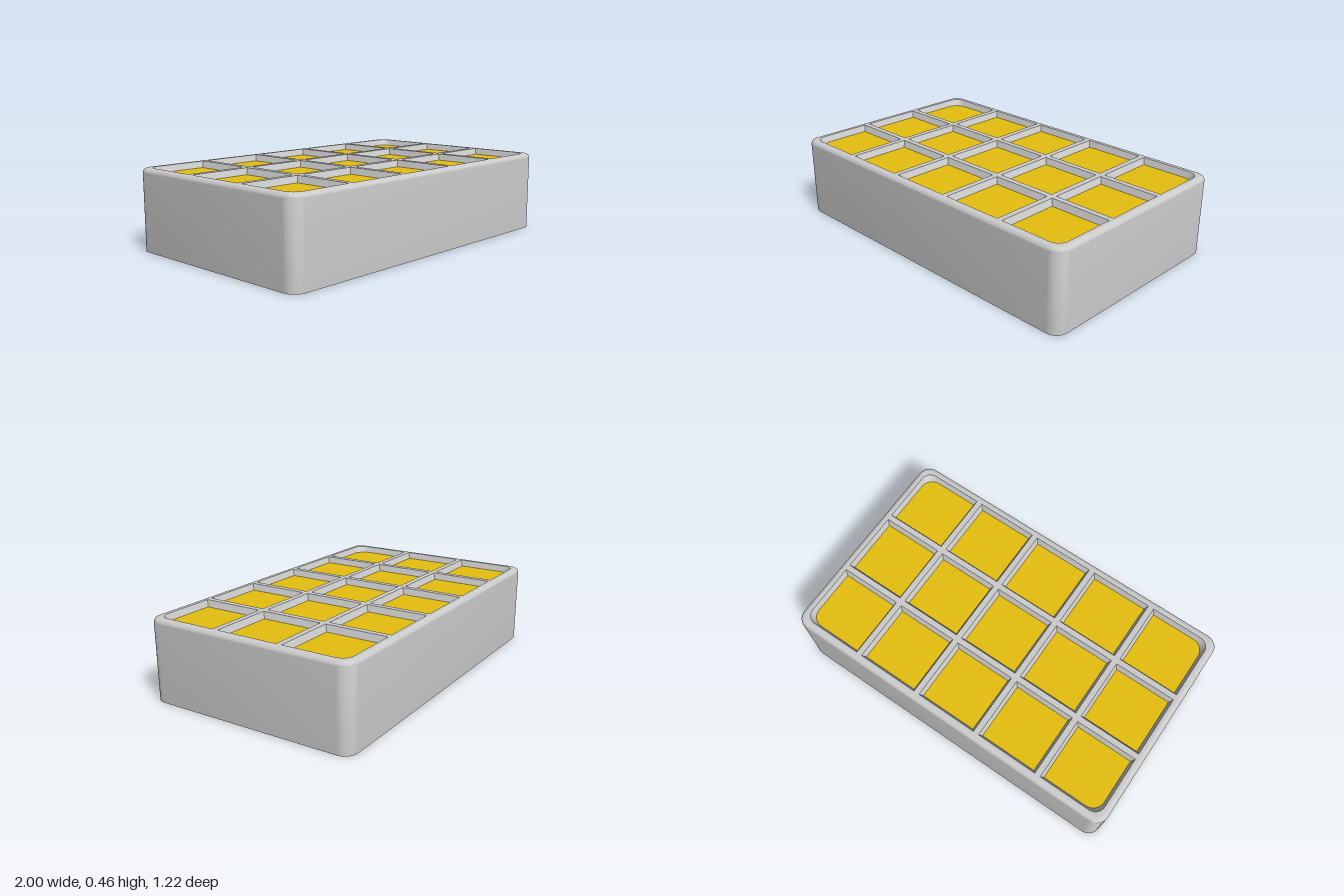
import * as THREE from 'three';
import { mergeGeometries, toCreasedNormals } from 'three/addons/utils/BufferGeometryUtils.js';

const W = 2, D = 1.22, H = 0.455;      // outer size
const R = 0.07, FILLET = 0.025;        // plan corner and top edge radii
const COLS = 5, ROWS = 3, PITCH = 0.39;
const OPEN = 0.357, FLOOR = 0.327, DEPTH = 0.035;

// Counter-clockwise rectangle; each corner [++, -+, --, +-] has its own radius
function outline(cx, cy, w, h, radii, n = 8) {
  const signs = [[1, 1], [-1, 1], [-1, -1], [1, -1]];
  const pts = [];
  signs.forEach(([sx, sy], k) => {
    const r = radii[k];
    const x = cx + sx * (w / 2 - r), y = cy + sy * (h / 2 - r);
    const steps = r > 0 ? n : 0;
    for (let i = 0; i <= steps; i++) {
      const a = (k + (steps ? i / steps : 0)) * Math.PI / 2;
      pts.push(new THREE.Vector2(x + r * Math.cos(a), y + r * Math.sin(a)));
    }
  });
  return pts;
}

// Skin between successive outlines, each { pts, z }
function loft(rings) {
  const pos = [];
  const put = (ring, i) => {
    const p = ring.pts[i % ring.pts.length];
    pos.push(p.x, p.y, ring.z);
  };
  for (let k = 0; k + 1 < rings.length; k++) {
    const a = rings[k], b = rings[k + 1];
    for (let i = 0; i < a.pts.length; i++) {
      put(a, i); put(a, i + 1); put(b, i + 1);
      put(a, i); put(b, i + 1); put(b, i);
    }
  }
  const g = new THREE.BufferGeometry();
  g.setAttribute('position', new THREE.Float32BufferAttribute(pos, 3));
  return toCreasedNormals(g, 0.6);
}

// Flat cap at height z
function cap(pts, z, holes = []) {
  const shape = new THREE.Shape(pts);
  shape.holes = holes.map(h => new THREE.Path(h));
  const g = new THREE.ShapeGeometry(shape).toNonIndexed();
  g.deleteAttribute('uv');
  return g.translate(0, 0, z);
}

export function createModel() {
  const model = new THREE.Group();
  const grey = new THREE.MeshStandardMaterial({ color: 0xcccccc });
  const gold = new THREE.MeshStandardMaterial({ color: 0xe6bf10 });
  const add = (name, geometry, material) => {
    const mesh = new THREE.Mesh(geometry.rotateX(-Math.PI / 2), material);
    mesh.name = name;
    model.add(mesh);
  };

  // Compartment outlines; only the tray's four outer corners are rounded
  const cells = [];
  for (let c = 0; c < COLS; c++) {
    for (let r = 0; r < ROWS; r++) {
      const x = (c - (COLS - 1) / 2) * PITCH, y = (r - (ROWS - 1) / 2) * PITCH;
      const left = c === 0, right = c === COLS - 1, low = r === 0, high = r === ROWS - 1;
      const round = [right && high, left && high, left && low, right && low];
      cells.push({
        top: outline(x, y, OPEN, OPEN, round.map(b => b ? 0.06 : 0)),
        floor: outline(x, y, FLOOR, FLOOR, round.map(b => b ? 0.07 : 0)),
      });
    }
  }

  // Outer shell: upright walls, then a quarter-round top edge
  const section = (inset, z) => ({
    pts: outline(0, 0, W - 2 * inset, D - 2 * inset, Array(4).fill(R - inset)), z,
  });
  const rings = [section(0, 0)];
  for (let i = 0; i <= 6; i++) {
    const a = i / 6 * Math.PI / 2;
    rings.push(section(FILLET * (1 - Math.cos(a)), H - FILLET * (1 - Math.sin(a))));
  }
  add('bodyShell', loft(rings), grey);

  // Underside, facing down
  const base = cap(rings[0].pts.map(p => new THREE.Vector2(p.x, -p.y)), 0);
  add('underside', base.rotateX(Math.PI), grey);

  // Rim and dividing ribs
  add('topGrid', cap(rings[rings.length - 1].pts, H, cells.map(c => c.top)), grey);

  // Sloping compartment walls and coloured floors
  add('compartmentWalls', mergeGeometries(cells.map(c =>
    loft([{ pts: c.top, z: H }, { pts: c.floor, z: H - DEPTH }]))), grey);
  add('compartmentFloors', mergeGeometries(cells.map(c => cap(c.floor, H - DEPTH))), gold);

  return model;
}
